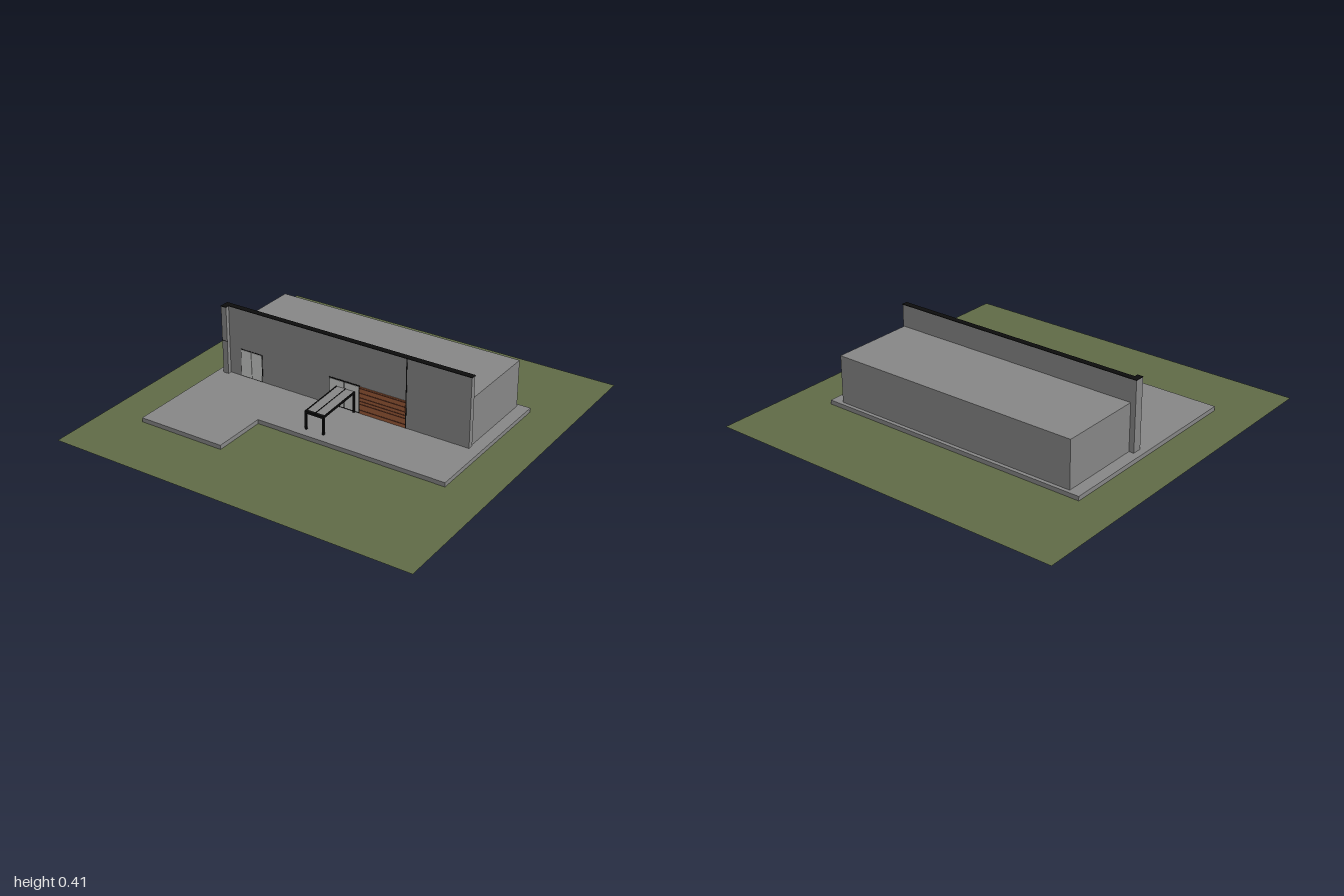
import * as THREE from 'three';

export function createModel() {
  const model = new THREE.Group();
  model.name = 'building';

  const paint = (name, color, side = THREE.FrontSide) => {
    const m = new THREE.MeshStandardMaterial({ color, side });
    m.name = name;
    return m;
  };
  const grass = paint('grass green', 0x5f6a46, THREE.DoubleSide);
  const concrete = paint('concrete grey', 0x868686);
  const black = paint('black metal', 0x0c0c0c);
  const glass = paint('pale glass', 0xc8cac8);
  const wood = paint('wood brown', 0x9c5a38);
  const darkWood = paint('dark wood', 0x552c1c);

  // Box given by its lower and upper corners
  const box = (name, mat, [x0, y0, z0], [x1, y1, z1], parent = model) => {
    const mesh = new THREE.Mesh(new THREE.BoxGeometry(x1 - x0, y1 - y0, z1 - z0), mat);
    mesh.position.set((x0 + x1) / 2, (y0 + y1) / 2, (z0 + z1) / 2);
    mesh.name = name;
    parent.add(mesh);
    return mesh;
  };
  const group = (name) => {
    const g = new THREE.Group();
    g.name = name;
    model.add(g);
    return g;
  };

  // Lawn
  const lawn = new THREE.Mesh(new THREE.PlaneGeometry(2, 2), grass);
  lawn.rotation.x = -Math.PI / 2;
  lawn.name = 'lawn';
  model.add(lawn);

  // L-shaped paving slab; shape y becomes -z
  const outline = [[-0.775, 0.505], [-0.775, -0.638], [-0.29, -0.638], [-0.29, -0.338], [0.77, -0.338], [0.77, 0.505]];
  const slabShape = new THREE.Shape(outline.map(([x, y]) => new THREE.Vector2(x, y)));
  const slab = new THREE.Mesh(new THREE.ExtrudeGeometry(slabShape, { depth: 0.023, bevelEnabled: false }), concrete);
  slab.rotation.x = -Math.PI / 2;
  slab.position.y = 0.002;
  slab.name = 'pavingSlab';
  model.add(slab);

  // Hall and tall front wall with its corner pillar
  box('hall', concrete, [-0.71, 0.025, -0.485], [0.705, 0.282, -0.018]);
  box('frontWall', concrete, [-0.706, 0.025, -0.02], [0.71, 0.402, 0.01]);
  box('cornerPillar', concrete, [-0.738, 0.025, -0.02], [-0.706, 0.402, 0.032]);
  box('wallCap', black, [-0.706, 0.402, -0.022], [0.712, 0.405, 0.011]);
  box('pillarCap', black, [-0.739, 0.402, -0.022], [-0.706, 0.405, 0.033]);
  box('verticalSeam', black, [0.355, 0.025, 0.008], [0.36, 0.402, 0.0115]);
  box('pillarSeam', black, [-0.7385, 0.209, 0.03], [-0.7055, 0.213, 0.0325]);

  // Framed double panes
  const glazing = (name, x0, x1, y1, border) => {
    const g = group(name), mid = (x0 + x1) / 2;
    box('frame', black, [x0, 0.026, 0.008], [x1, y1, 0.012], g);
    for (const [a, b] of [[x0 + border, mid - border / 2], [mid + border / 2, x1 - border]])
      box('pane', glass, [a, 0.026 + border, 0.01], [b, y1 - border, 0.014], g);
  };
  glazing('window', -0.635, -0.5, 0.18, 0.003);
  glazing('entranceDoor', -0.09, 0.093, 0.18, 0.006);

  // Timber cladding with dark joints
  const cladding = group('timberCladding');
  box('boards', wood, [0.093, 0.026, 0.008], [0.355, 0.175, 0.013], cladding);
  for (const y of [0.045, 0.078, 0.095, 0.114, 0.14, 0.166])
    box('boardJoint', darkWood, [0.093, y - 0.0025, 0.012], [0.355, y + 0.0025, 0.0145], cladding);

  // Entrance canopy: sloping roof on four posts
  const canopy = group('entranceCanopy');
  const left = -0.045, right = 0.066, back = 0.012, front = 0.288;
  for (const x of [left, right - 0.01]) {
    box('frontPost', black, [x, 0.025, front - 0.011], [x + 0.01, 0.122, front], canopy);
    box('backPost', black, [x, 0.025, back], [x + 0.01, 0.136, back + 0.009], canopy);
  }
  box('frontBeam', black, [left, 0.113, front - 0.018], [right, 0.126, front], canopy);
  box('backBeam', black, [left, 0.127, back], [right, 0.139, back + 0.009], canopy);
  const roof = new THREE.Group();
  roof.name = 'canopyRoof';
  roof.position.set((left + right) / 2, 0.129, (back + front) / 2);
  roof.rotation.x = Math.atan2(0.015, front - back);
  canopy.add(roof);
  const half = (right - left) / 2, len = (front - back) / 2;
  box('roofPanel', concrete, [-half + 0.005, -0.001, -len], [half - 0.005, 0.003, len - 0.016], roof);
  for (const [x, w] of [[-half, 0.006], [-0.002, 0.004], [half - 0.006, 0.006]])
    box('roofRail', black, [x, -0.006, -len], [x + w, 0.005, len], roof);

  return model;
}
